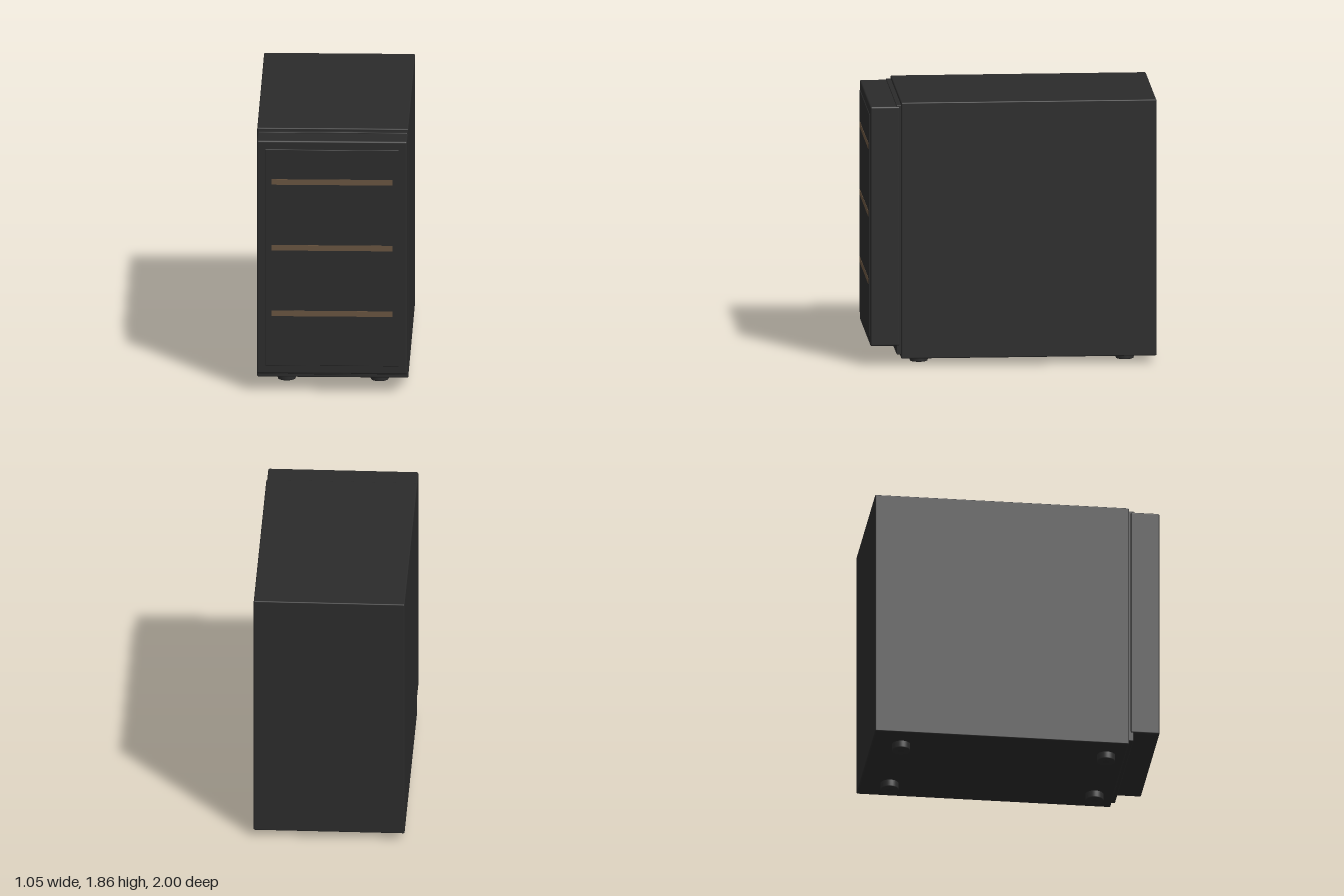
import * as THREE from 'three';
import { RoundedBoxGeometry } from 'three/addons/geometries/RoundedBoxGeometry.js';

export function createModel() {
  const model = new THREE.Group();
  model.name = 'compactCabinet';

  const charcoal = new THREE.MeshStandardMaterial({ color: 0x2b2b2b });
  charcoal.name = 'charcoal';
  const bronze = new THREE.MeshStandardMaterial({ color: 0x68543f });
  bronze.name = 'bronze';

  const add = (name, geometry, material, x, y, z) => {
    const mesh = new THREE.Mesh(geometry, material);
    mesh.name = name;
    mesh.position.set(x, y, z);
    model.add(mesh);
  };

  // Softly rounded block given by its width and its y and z ranges
  const block = (name, width, y0, y1, z0, z1, radius) =>
    add(name, new RoundedBoxGeometry(width, y1 - y0, z1 - z0, 3, radius),
      charcoal, 0, (y0 + y1) / 2, (z0 + z1) / 2);

  block('body', 1.05, 0.05, 1.86, -1, 0.778, 0.008);
  block('doorSeal', 1.036, 0.08, 1.84, 0.74, 0.81, 0.004);
  block('door', 1.044, 0.14, 1.832, 0.787, 0.993, 0.012);
  block('frontPanel', 0.93, 0.2, 1.77, 0.97, 0.998, 0.004);

  // Three thin trim strips on the front panel
  for (const y of [0.58, 1.057, 1.535]) {
    add('trimStrip', new THREE.BoxGeometry(0.84, 0.04, 0.006), bronze, 0, y, 0.997);
  }

  // Four short round feet with a softened lower rim
  const profile = [[0, 0], [0.056, 0], [0.061, 0.002], [0.063, 0.008], [0.063, 0.06]]
    .map(([r, y]) => new THREE.Vector2(r, y));
  for (const x of [-0.323, 0.323]) {
    for (const z of [-0.793, 0.642]) {
      add('foot', new THREE.LatheGeometry(profile, 32), charcoal, x, 0, z);
    }
  }

  return model;
}
